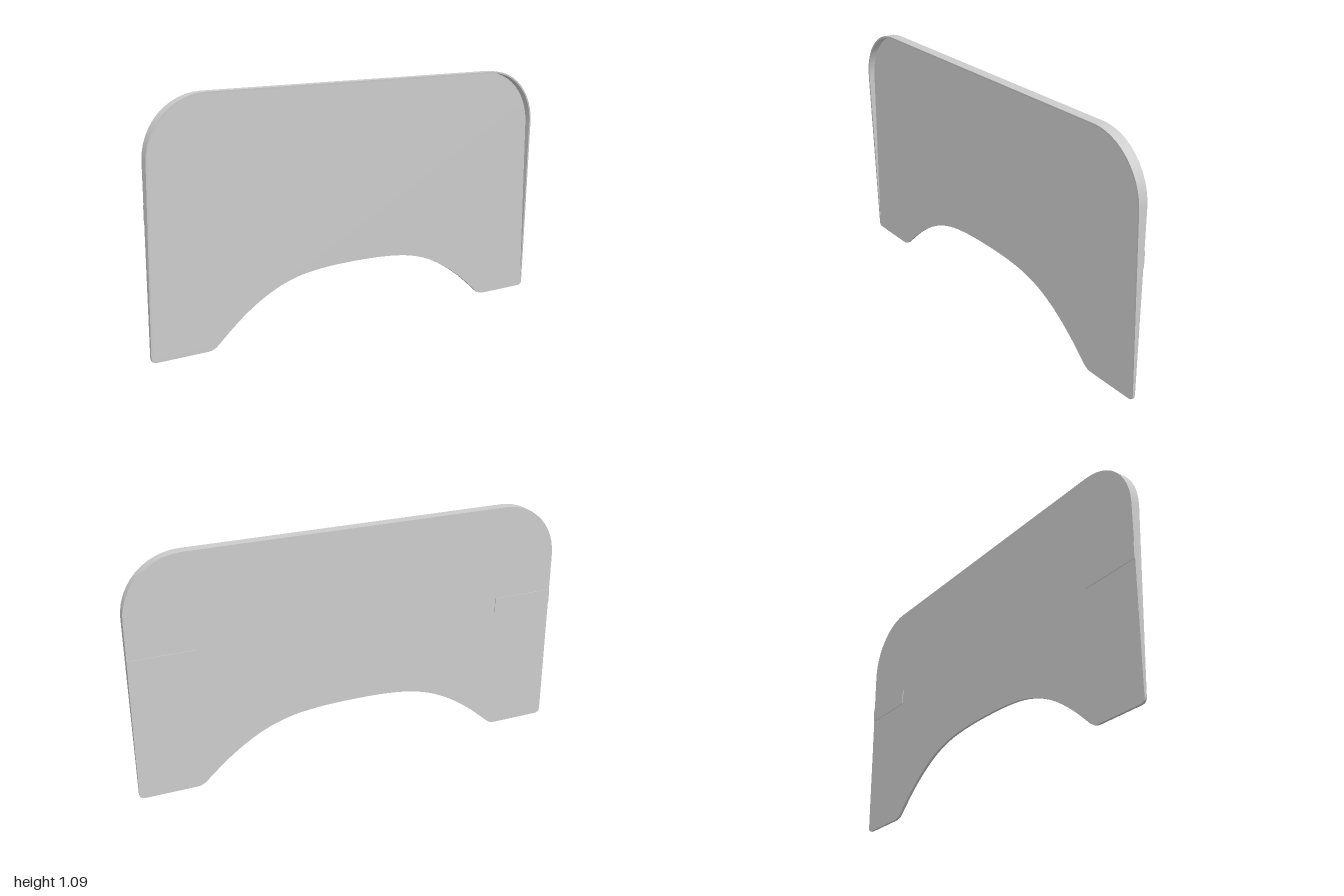
import * as THREE from 'three';
import { toCreasedNormals } from 'three/addons/utils/BufferGeometryUtils.js';

const TOP = 1.09, RADIUS = 0.26, RIM = 0.008;
const BACK = -0.022, FLOOR = -0.0105;
const Z_BOTTOM = -0.0116, Z_TOP = 0.0265;

// Depth of the rim's front edge, which leans forward with height
const rimZ = (y) => Z_BOTTOM + (Z_TOP - Z_BOTTOM) * y / TOP;

// Points up the +x side, around both upper corners and down the -x side
function archPoints(inset, yStart) {
  const pts = [new THREE.Vector2(1 - inset, yStart)];
  for (const [cx, from] of [[1 - RADIUS, 0], [RADIUS - 1, Math.PI / 2]]) {
    for (let i = 0; i <= 12; i++) {
      const a = from + (i / 12) * Math.PI / 2, r = RADIUS - inset;
      pts.push(new THREE.Vector2(cx + r * Math.cos(a), TOP - RADIUS + r * Math.sin(a)));
    }
  }
  pts.push(new THREE.Vector2(inset - 1, yStart));
  return pts;
}

export function createModel() {
  const group = new THREE.Group();
  const material = new THREE.MeshStandardMaterial({ color: 0xcccccc });
  const add = (name, geometry) => {
    const mesh = new THREE.Mesh(geometry, material);
    mesh.name = name;
    group.add(mesh);
    return mesh;
  };

  // Flat back panel with a wide arch cut into its lower edge
  const panel = new THREE.Shape();
  const outline = archPoints(0, 0.025);
  panel.moveTo(outline[0].x, outline[0].y);
  outline.slice(1).forEach((p) => panel.lineTo(p.x, p.y));
  panel.quadraticCurveTo(-1, 0, -0.975, 0);
  panel.lineTo(-0.745, 0);
  panel.quadraticCurveTo(-0.72, 0, -0.7, 0.018);
  const half = [[-0.6, 0.105], [-0.5, 0.175], [-0.4, 0.226], [-0.3, 0.257], [-0.2, 0.272], [-0.08, 0.279]];
  const arch = [...half, ...half.map(([x, y]) => [-x, y]).reverse(), [0.7, 0.018]];
  panel.splineThru(arch.map(([x, y]) => new THREE.Vector2(x, y)));
  panel.quadraticCurveTo(0.72, 0, 0.745, 0);
  panel.lineTo(0.975, 0);
  panel.quadraticCurveTo(1, 0, 1, 0.025);
  const panelGeo = new THREE.ExtrudeGeometry(panel, { depth: FLOOR - BACK, bevelEnabled: false, curveSegments: 4 });
  panelGeo.translate(0, 0, BACK);
  add('backPanel', toCreasedNormals(panelGeo, 0.5));

  // Thin rim around sides and top, its front edge sloped forward
  const rimStart = (FLOOR - Z_BOTTOM) * TOP / (Z_TOP - Z_BOTTOM);
  const rim = new THREE.Shape([...archPoints(0, rimStart), ...archPoints(RIM, rimStart).reverse()]);
  const rimGeo = new THREE.ExtrudeGeometry(rim, { depth: 1, bevelEnabled: false });
  const pos = rimGeo.attributes.position;
  for (let i = 0; i < pos.count; i++) {
    pos.setZ(i, pos.getZ(i) > 0.5 ? rimZ(pos.getY(i)) : FLOOR);
  }
  add('rim', toCreasedNormals(rimGeo, 0.5));

  // Shallow raised pads at both ends of the back
  for (const [name, side] of [['leftBackPad', 1], ['rightBackPad', -1]]) {
    add(name, new THREE.BoxGeometry(0.29, 0.072, 0.006)).position.set(side * 0.855, 0.62, BACK);
  }
  return group;
}
